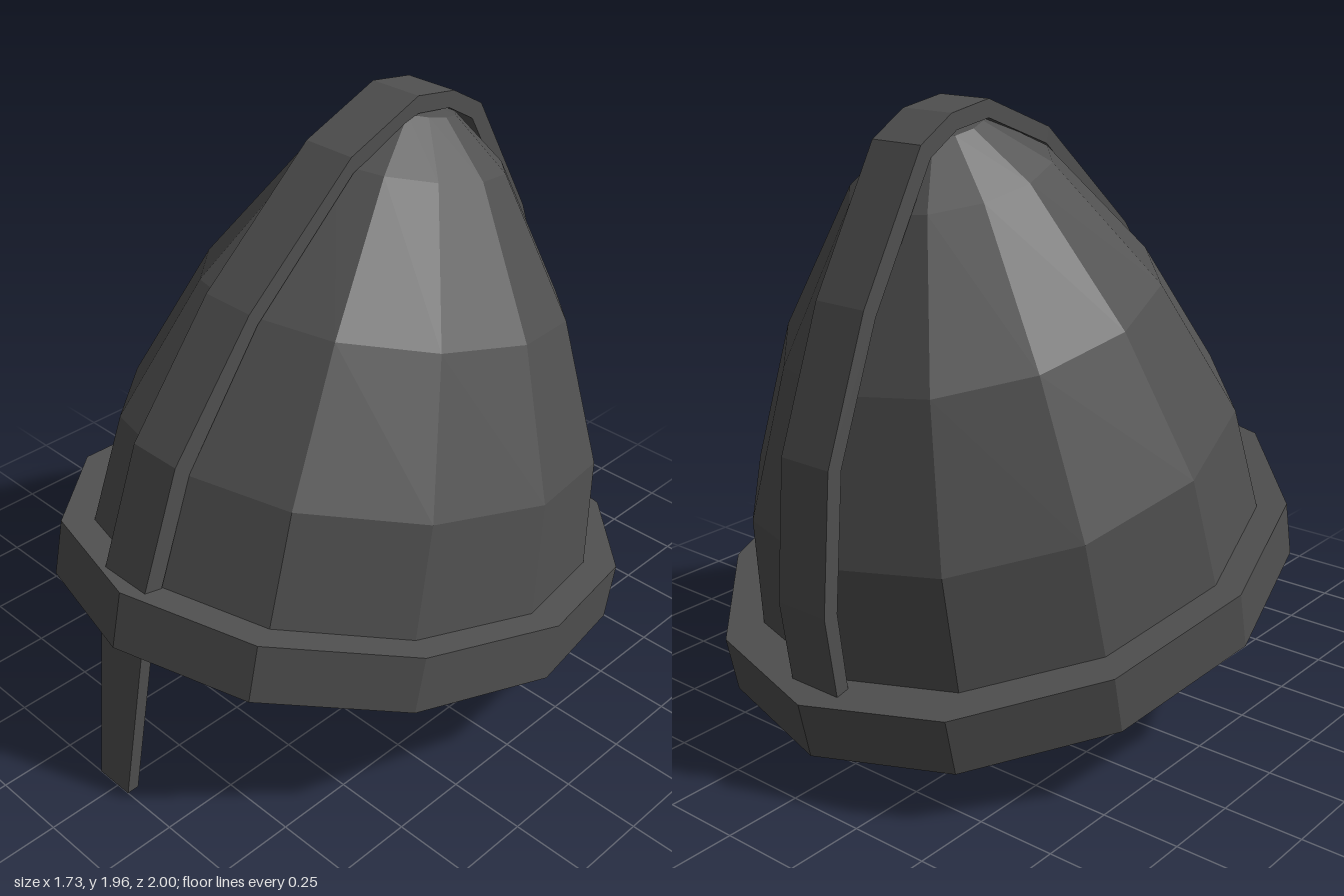
import * as THREE from 'three';

const SIDES = 12;
const TILT = -0.222; // brow sits higher than the nape

const material = new THREE.MeshStandardMaterial({
  color: 0x505050, flatShading: true, side: THREE.DoubleSide,
});

function addMesh(parent, name, geometry) {
  const mesh = new THREE.Mesh(geometry, material);
  mesh.name = name;
  parent.add(mesh);
  return mesh;
}

// Twelve-sided oval body turned from a [radius, height] profile
function ovalLathe(profile, stretch) {
  const points = profile.map(([r, y]) => new THREE.Vector2(r, y));
  return new THREE.LatheGeometry(points, SIDES, 0.035).scale(1, 1, stretch);
}

export function createModel() {
  const helmet = new THREE.Group();
  helmet.name = 'helmet';

  // Tilted shell: bowl and brow band share the same axis
  const shell = new THREE.Group();
  shell.name = 'shell';
  shell.position.set(0, 0.3525, 0.015);
  shell.rotation.x = TILT;
  helmet.add(shell);

  // Bowl: inside surface down, then outside surface up
  const bowl = ovalLathe([
    [0, 1.54], [0.10, 1.52], [0.26, 1.38], [0.515, 0.98], [0.69, 0.54], [0.735, 0.02],
    [0.79, 0.02], [0.775, 0.187], [0.735, 0.544], [0.555, 0.996], [0.29, 1.417],
    [0.115, 1.565], [0, 1.59],
  ], 1.13);
  addMesh(shell, 'bowl', bowl).position.z = 0.012;

  // Brow band around the opening
  addMesh(shell, 'browBand', ovalLathe([
    [0.735, 0], [0.868, 0], [0.868, 0.187], [0.75, 0.187], [0.735, 0],
  ], 1.152));

  // Crest strip running over the top from brow to nape, as [z, y]
  const outer = [
    [0.90, 0.72], [0.75, 1.115], [0.45, 1.495], [0.04, 1.85], [-0.24, 1.96], [-0.40, 1.935],
    [-0.53, 1.86], [-0.77, 1.44], [-0.925, 1.02], [-0.96, 0.59], [-0.92, 0.32],
  ];
  const inner = [
    [0.84, 0.70], [0.70, 1.07], [0.42, 1.45], [0.03, 1.80], [-0.24, 1.905], [-0.38, 1.885],
    [-0.49, 1.82], [-0.725, 1.41], [-0.875, 1.01], [-0.91, 0.59], [-0.875, 0.32],
  ];
  const outline = [...outer, ...inner.reverse()].map(([z, y]) => new THREE.Vector2(z, y));
  const strip = new THREE.ExtrudeGeometry(new THREE.Shape(outline), {
    depth: 0.185, bevelEnabled: false,
  });
  strip.rotateY(-Math.PI / 2).translate(0.075, 0, 0);
  addMesh(helmet, 'crestStrip', strip);

  // Nose guard: a plate that narrows and leans forward toward its tip
  const height = 0.6;
  const guard = new THREE.BoxGeometry(1, height, 0.04).translate(0, height / 2, 0);
  const p = guard.attributes.position;
  for (let i = 0; i < p.count; i++) {
    const t = p.getY(i) / height;
    p.setX(i, p.getX(i) * (0.135 + 0.065 * t) - 0.018);
    p.setZ(i, p.getZ(i) + 0.98 - 0.085 * t);
  }
  guard.computeVertexNormals();
  addMesh(helmet, 'noseGuard', guard);

  return helmet;
}
